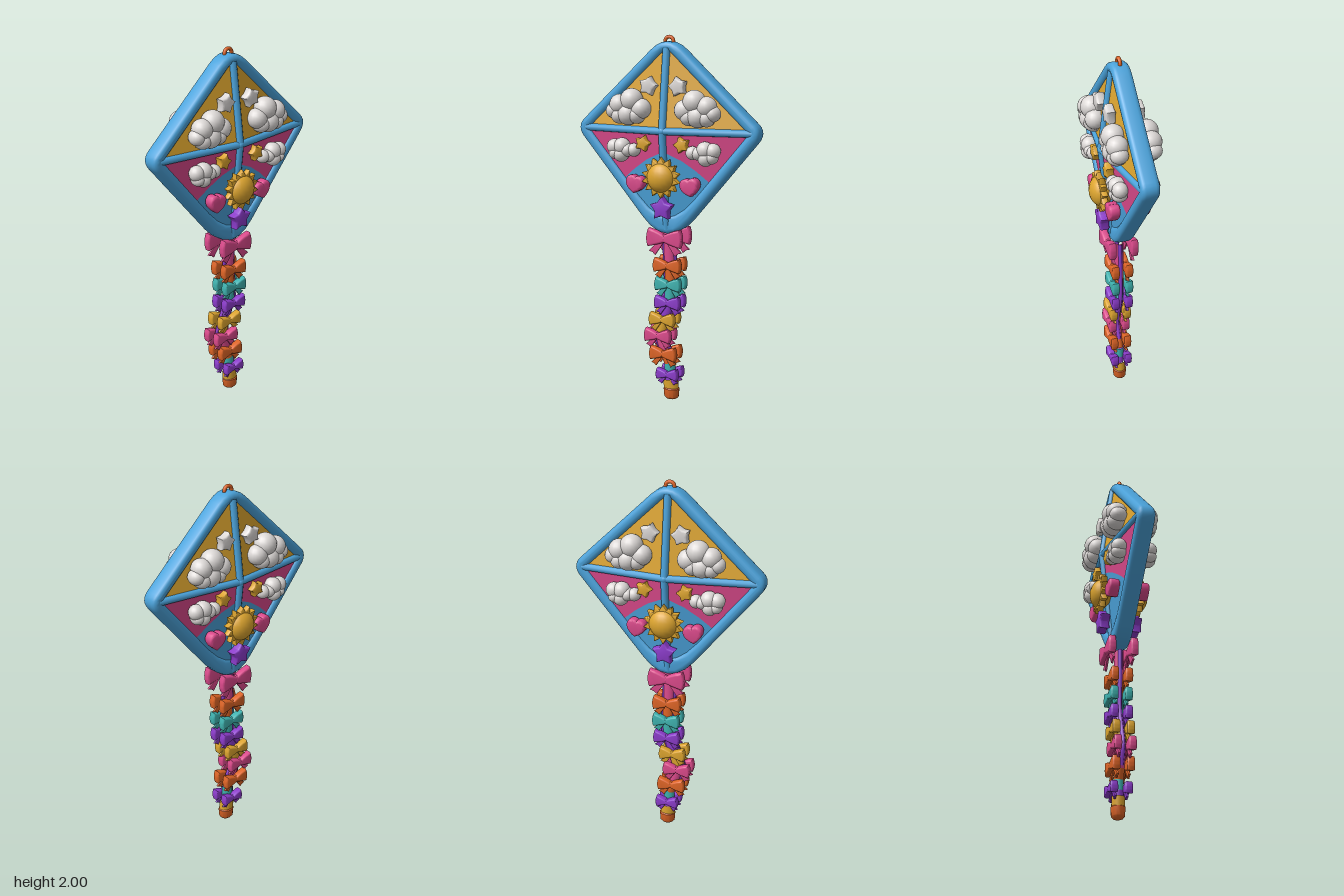
import * as THREE from 'three';
import { toCreasedNormals } from 'three/addons/utils/BufferGeometryUtils.js';

const mat = (name, color) => {
  const m = new THREE.MeshStandardMaterial({ color });
  m.name = name;
  return m;
};

export function createModel() {
  const blue = mat('sky blue', 0x4ba3db), gold = mat('gold', 0xdda52f), pink = mat('pink', 0xdc4a8c);
  const white = mat('cloud white', 0xdcd8d6), orange = mat('orange', 0xdf6526);
  const teal = mat('teal', 0x3fb3b0), purple = mat('purple', 0x8c3ccb);

  // Local frame: u across the kite, y up, w out of the face
  const add = (parent, name, geo, material, u = 0, y = 0, w = 0) => {
    const m = new THREE.Mesh(geo, material);
    m.name = name;
    m.position.set(u, y, w);
    parent.add(m);
    return m;
  };
  // Puffy plate: bevelled extrusion centred on its thickness
  const puffy = (shape, thick, bevel) => {
    const g = new THREE.ExtrudeGeometry(shape, {
      depth: thick - 2 * bevel, bevelThickness: bevel, bevelSize: bevel, bevelSegments: 3, curveSegments: 6,
    });
    g.translate(0, 0, -(thick - 2 * bevel) / 2);
    return toCreasedNormals(g, 0.7);
  };
  const poly = (pts) => new THREE.Shape(pts.map(([x, y]) => new THREE.Vector2(x, y)));
  const star = (n, outer, inner) => poly(Array.from({ length: 2 * n }, (_, i) => {
    const a = Math.PI / 2 + (i * Math.PI) / n, r = i % 2 ? inner : outer;
    return [r * Math.cos(a), r * Math.sin(a)];
  }));

  // Kite outline scaled by k, each corner rounded by a fraction of its edges
  const CY = 1.5;
  const outline = (k, cuts, ShapeType) => {
    const c = [[0, 0.51], [-0.545, 0], [0, -0.65], [0.545, 0]]
      .map(([x, y]) => new THREE.Vector2(x * k, CY + y * k));
    const s = new ShapeType();
    c.forEach((p, i) => {
      const a = p.clone().lerp(c[(i + 3) % 4], cuts[i]), b = p.clone().lerp(c[(i + 1) % 4], cuts[i]);
      if (i) s.lineTo(a.x, a.y); else s.moveTo(a.x, a.y);
      s.quadraticCurveTo(p.x, p.y, b.x, b.y);
    });
    s.closePath();
    return s;
  };

  // Sail surface: a shallow pyramid peaking where the spars cross
  const A = 0.48, H = 0.45, L = 0.57;
  const surf = (u, y) => 0.035 + 0.062 * (1 - Math.abs(u) / A - (y > CY ? (y - CY) / H : (CY - y) / L));
  const panel = (parent, name, pts, material, side) => {
    const g = new THREE.ShapeGeometry(poly(pts.map(([x, y]) => [x * side, y])));
    const p = g.attributes.position;
    for (let i = 0; i < p.count; i++) p.setZ(i, surf(p.getX(i), p.getY(i)));
    g.computeVertexNormals();
    add(parent, name, g, material);
  };

  const ball = new THREE.SphereGeometry(1, 18, 12);
  const cloud = (parent, name, u, y, w, side, puffs) => {
    const g = new THREE.Group();
    g.name = name;
    g.position.set(u * side, y, w);
    for (const [pu, py, r, d] of puffs) add(g, 'cloudPuff', ball, white, pu * side, py).scale.set(r, r, d);
    parent.add(g);
  };

  const heart = new THREE.Shape();
  heart.moveTo(0, -0.036);
  heart.bezierCurveTo(-0.02, -0.025, -0.045, -0.005, -0.04, 0.018);
  heart.bezierCurveTo(-0.033, 0.04, -0.008, 0.036, 0, 0.02);
  heart.bezierCurveTo(0.008, 0.036, 0.033, 0.04, 0.04, 0.018);
  heart.bezierCurveTo(0.045, -0.005, 0.02, -0.025, 0, -0.036);
  const heartGeo = puffy(heart, 0.06, 0.013);
  const puffStar = puffy(star(5, 0.036, 0.024), 0.05, 0.012);
  const goldStar = puffy(star(5, 0.034, 0.02), 0.045, 0.008);
  const purpleStar = puffy(star(5, 0.053, 0.029), 0.055, 0.01);

  const buildFace = () => {
    const f = new THREE.Group();
    f.name = 'kiteFace';
    for (const s of [-1, 1]) {
      panel(f, 'upperPanel', [[0, CY], [A, CY], [0, CY + H]], gold, s);
      const arc = [[0, 1.39], [0.1, 1.345], [0.18, 1.29], [0.252, 1.229]];
      panel(f, 'lowerPanel', [[0, CY], ...arc, [A, CY]], pink, s);
      panel(f, 'bottomPanel', [...arc, [0.034, 0.97], [0, 0.97]], blue, s);
      cloud(f, 'largeCloud', 0.2, 1.615, 0.088, s, [
        [-0.02, 0.045, 0.062, 0.062], [0.05, 0.02, 0.055, 0.058], [-0.075, 0.0, 0.055, 0.055],
        [0.085, -0.015, 0.042, 0.048], [0.0, -0.03, 0.06, 0.062], [-0.05, -0.035, 0.046, 0.054], [0.05, -0.038, 0.046, 0.054],
      ]);
      cloud(f, 'smallCloud', 0.235, 1.395, 0.085, s, [
        [0.005, 0.015, 0.046, 0.048], [0.05, 0.012, 0.042, 0.042], [-0.065, -0.002, 0.036, 0.038],
        [0.01, -0.028, 0.042, 0.046], [-0.03, -0.004, 0.036, 0.044], [0.045, -0.022, 0.034, 0.042],
      ]);
      add(f, 'puffStar', puffStar, white, s * 0.085, 1.735, 0.077).rotation.z = s * 0.25;
      add(f, 'goldStar', goldStar, gold, s * 0.112, 1.432, 0.09).rotation.z = s * 0.3;
      add(f, 'heart', heartGeo, pink, s * 0.158, 1.212, 0.083).rotation.z = s * 0.15;
      // Cross spar
      const arm = new THREE.LineCurve3(new THREE.Vector3(0, CY, 0.094), new THREE.Vector3(s * 0.49, CY, 0.03));
      add(f, 'crossSpar', new THREE.TubeGeometry(arm, 1, 0.02, 10), blue);
      // Spine
      const end = new THREE.Vector3(0, s > 0 ? 1.93 : 0.965, s > 0 ? 0.035 : 0.032);
      add(f, 'spine', new THREE.TubeGeometry(new THREE.LineCurve3(new THREE.Vector3(0, CY, 0.094), end), 1, 0.021, 10), blue);
    }
    add(f, 'sparJoint', ball, blue, 0, CY, 0.094).scale.setScalar(0.023);
    // Sun: a dome with a ring of pointed rays
    add(f, 'sunRays', puffy(star(14, 0.102, 0.074), 0.035, 0.006), gold, 0, 1.255, 0.105);
    add(f, 'sunDome', ball, gold, 0, 1.255, 0.1).scale.set(0.082, 0.082, 0.062);
    add(f, 'purpleStar', purpleStar, purple, 0, 1.088, 0.09);
    return f;
  };

  const kite = new THREE.Group();
  kite.name = 'kite';
  kite.rotation.y = Math.PI / 2;

  // Rounded frame with an open middle
  const frame = outline(0.936, [0.15, 0.06, 0.24, 0.06], THREE.Shape);
  frame.holes.push(outline(0.908, [0.1, 0.04, 0.36, 0.04], THREE.Path));
  add(kite, 'frame', puffy(frame, 0.1, 0.025), blue);
  const back = buildFace();
  back.rotation.y = Math.PI;
  kite.add(buildFace(), back);
  add(kite, 'topLoop', new THREE.TorusGeometry(0.024, 0.01, 10, 24), orange, 0, 1.966);

  // Bow: two flared loops, a knot and two ribbon ends
  const loop = new THREE.Shape();
  loop.moveTo(0.004, 0.006);
  loop.quadraticCurveTo(0.03, 0.022, 0.066, 0.03);
  loop.quadraticCurveTo(0.077, 0, 0.068, -0.027);
  loop.quadraticCurveTo(0.03, -0.018, 0.004, -0.008);
  const loopGeo = puffy(loop, 0.042, 0.009);
  const ribbonGeo = puffy(poly([[0, 0], [0.012, 0.004], [0.072, -0.052], [0.056, -0.056], [0.046, -0.066]]), 0.012, 0.003);
  const bow = (material, u, y, size, w) => {
    for (const side of [0, Math.PI]) {
      const holder = new THREE.Group();
      holder.rotation.y = side;
      const b = new THREE.Group();
      b.name = 'bow';
      b.position.set(side ? -u : u, y, w);
      b.scale.set(size, size, 1);
      for (const s of [0, Math.PI]) {
        add(b, 'bowLoop', loopGeo, material).rotation.y = s;
        add(b, 'bowRibbon', ribbonGeo, material, 0, -0.006, -0.008).rotation.y = s;
      }
      add(b, 'bowKnot', ball, material).scale.set(0.017, 0.019, 0.022);
      holder.add(b);
      kite.add(holder);
    }
  };

  // Tail: coloured lengths along a gentle wave, a bow at the top of each
  const tail = [
    [pink, 0, 0.92, 1.28, 0.062], [orange, 0.005, 0.765, 1.0, 0.039], [teal, 0.01, 0.66, 0.95, 0.039],
    [purple, 0.006, 0.557, 0.93, 0.039], [gold, -0.026, 0.46, 0.93, 0.039], [pink, -0.052, 0.365, 0.97, 0.039],
    [orange, -0.02, 0.265, 0.98, 0.039], [teal, 0.004, 0.21, 0, 0], [purple, 0.005, 0.15, 0.8, 0.039],
    [gold, 0.008, 0.115, 0, 0], [orange, 0.014, 0.055, 0, 0],
  ];
  tail.forEach(([material, u, y, size, w], i) => {
    if (size) bow(material, u, y, size, w);
    const next = tail[i + 1];
    if (!next) return;
    const a = new THREE.Vector3(u, y, 0), b = new THREE.Vector3(next[1], next[2] - 0.006, 0);
    add(kite, 'tailLength', new THREE.TubeGeometry(new THREE.LineCurve3(a, b), 1, i === 9 ? 0.043 : 0.032, 12), material)
      .scale.z = 0.8;
  });
  // Purple ribbon along both edges of the tail
  for (const s of [-1, 1]) {
    const pts = tail.slice(0, 7).map(([, u, y]) => new THREE.Vector3(u + s * 0.029, y, 0));
    add(kite, 'tailRibbon', new THREE.TubeGeometry(new THREE.CatmullRomCurve3(pts), 30, 0.012, 6), purple);
  }
  // Rounded tip
  const tip = [[0, 0], [0.03, 0.002], [0.042, 0.014], [0.046, 0.06], [0.04, 0.066], [0, 0.066]];
  add(kite, 'tailTip', toCreasedNormals(new THREE.LatheGeometry(tip.map(([x, y]) => new THREE.Vector2(x, y)), 12), 0.8),
    orange, 0.014, 0, 0).scale.z = 0.85;

  const model = new THREE.Group();
  model.name = 'kiteModel';
  model.add(kite);
  return model;
}
